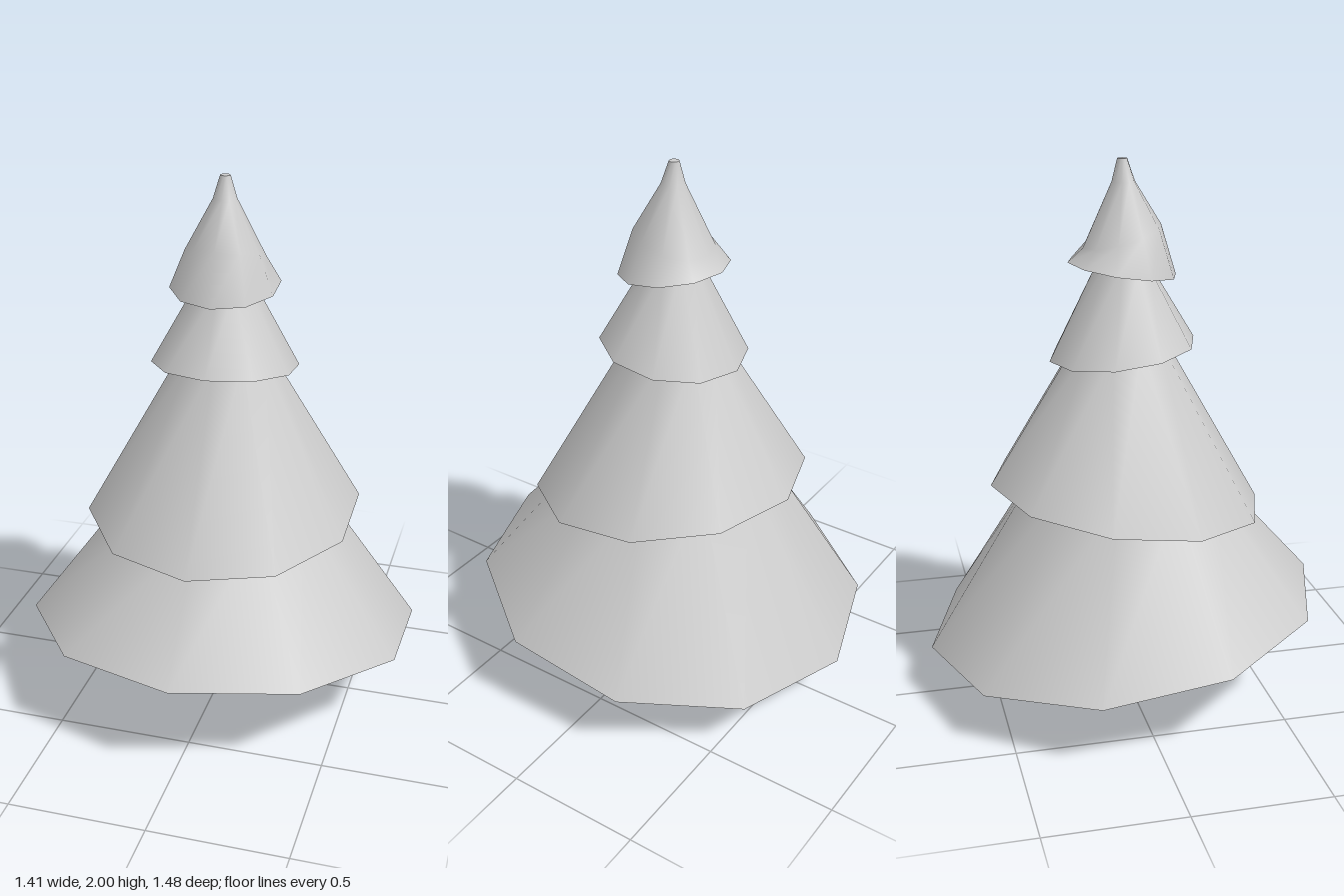
import * as THREE from 'three';

const SIDES = 10;
const material = new THREE.MeshStandardMaterial({ color: 0xcccccc });

// A ring is a tilted decagon: radius, height at its centre, rise per unit of z, z offset.
const ring = (radius, y, tilt = 0, z = 0) => ({ radius, y, tilt, z });

// Smooth skin through rings; listed bottom to top it faces outwards, inner to outer it faces down.
function loft(name, rings) {
  const positions = [], index = [];
  for (const r of rings) {
    for (let j = 0; j < SIDES; j++) {
      const a = (j / SIDES) * Math.PI * 2;
      const dz = r.radius * Math.cos(a);
      positions.push(r.radius * Math.sin(a), r.y + r.tilt * dz, r.z + dz);
    }
  }
  for (let i = 0; i < rings.length - 1; i++) {
    for (let j = 0; j < SIDES; j++) {
      const k = (j + 1) % SIDES;
      const a = i * SIDES + j, b = i * SIDES + k;
      index.push(a, b, b + SIDES, a, b + SIDES, a + SIDES);
    }
  }
  const geometry = new THREE.BufferGeometry();
  geometry.setAttribute('position', new THREE.Float32BufferAttribute(positions, 3));
  geometry.setIndex(index);
  geometry.computeVertexNormals();
  const mesh = new THREE.Mesh(geometry, material);
  mesh.name = name;
  return mesh;
}

export function createModel() {
  const tree = new THREE.Group();
  tree.name = 'firTree';

  // Trunk, widening upwards
  const trunkBase = ring(0.037, 0);
  const trunkTop = ring(0.057, 0.37, 0.03);
  tree.add(loft('trunkBase', [ring(0, 0), trunkBase]));
  tree.add(loft('trunk', [trunkBase, trunkTop]));

  // Each tier runs from its flared rim up to the neck under the next tier
  const tip = ring(0.018, 2);
  const tiers = [
    [ring(0.74, 0.284, 0.13), ring(0.345, 0.835, -0.1, 0.02)],
    [ring(0.51, 0.762, -0.123, 0.015), ring(0.165, 1.347, 0.09, -0.015)],
    [ring(0.268, 1.315, 0.12), ring(0.095, 1.633, -0.18, 0.01)],
    [ring(0.198, 1.612, -0.15), ring(0.142, 1.728, 0.26), ring(0.042, 1.92, 0, 0.004), tip],
  ];
  let neck = trunkTop;
  tiers.forEach((rings, i) => {
    const tier = new THREE.Group();
    tier.name = `foliageTier${i + 1}`;
    tier.add(loft('underside', [neck, rings[0]]), loft('foliage', rings));
    tree.add(tier);
    neck = rings[rings.length - 1];
  });

  // Small flat cap at the very top
  tree.add(loft('tipCap', [tip, ring(0, 2)]));
  return tree;
}
